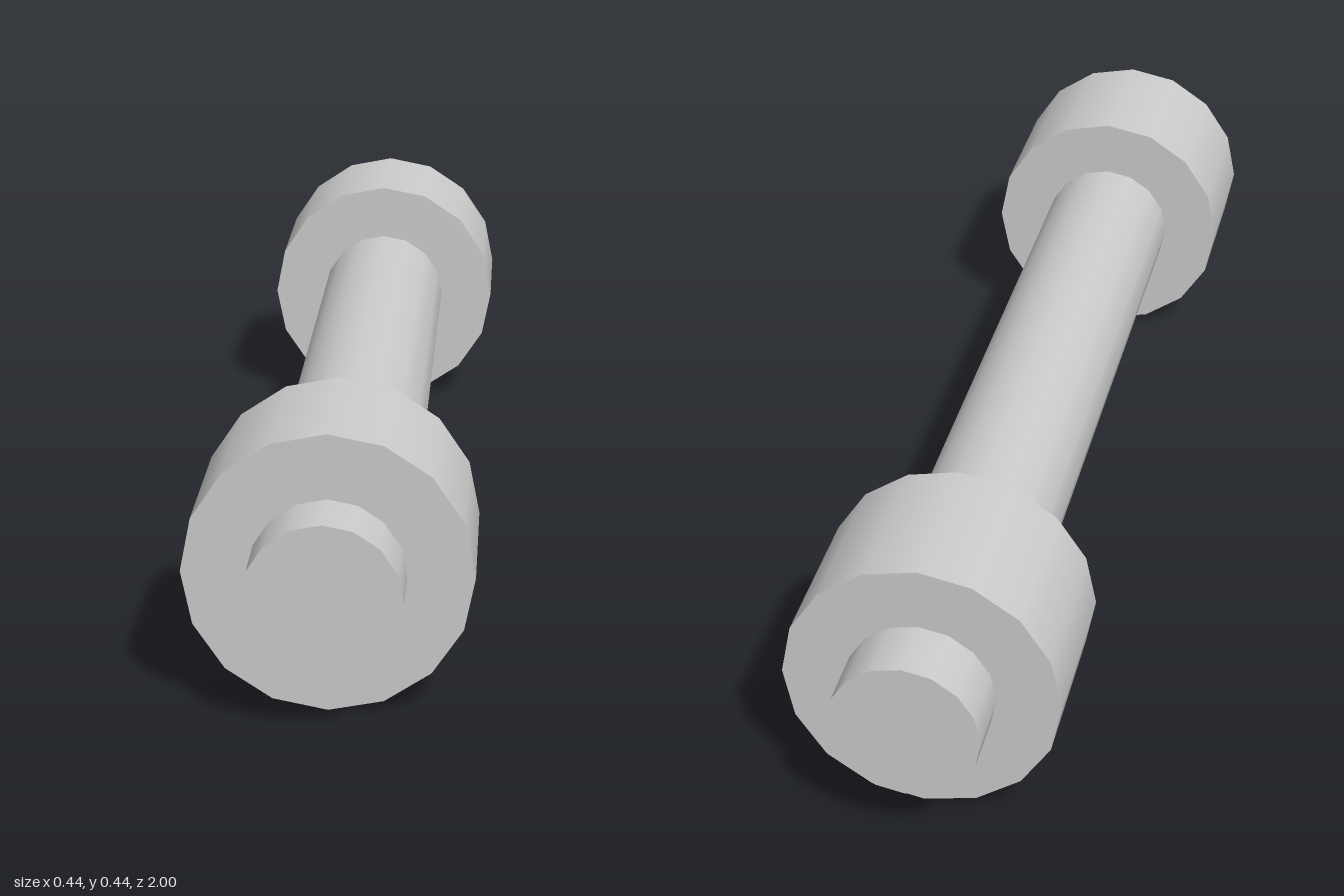
import * as THREE from 'three';

const SIDES = 16;
const AXIS_Y = 0.22;

export function createModel() {
  const group = new THREE.Group();
  group.name = 'dumbbell';
  const material = new THREE.MeshStandardMaterial({ color: 0xcccccc });

  // Capped cylinder lying along z, with a corner pointing straight up
  const addCylinder = (name, radius, length, z) => {
    const geometry = new THREE.CylinderGeometry(radius, radius, length, SIDES);
    geometry.rotateX(Math.PI / 2);
    const mesh = new THREE.Mesh(geometry, material);
    mesh.name = name;
    mesh.position.set(0, AXIS_Y, z);
    group.add(mesh);
  };

  // Handle bar running the full length
  addCylinder('bar', 0.119, 2, 0);

  // Matching weights near both ends
  addCylinder('frontWeight', 0.22, 0.27, 0.76);
  addCylinder('backWeight', 0.22, 0.27, -0.76);

  return group;
}
